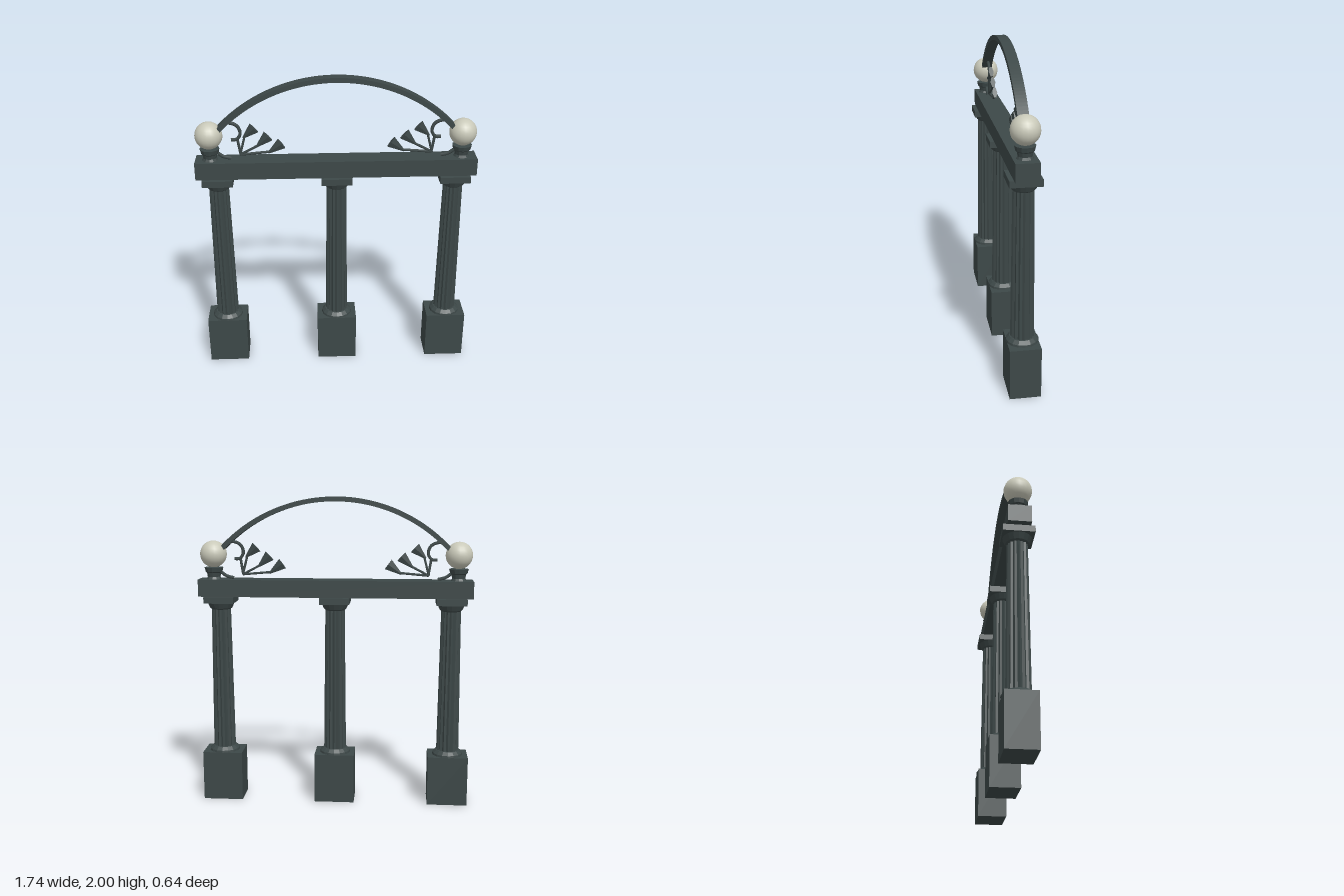
import * as THREE from 'three';

const iron = new THREE.MeshStandardMaterial({ color: 0x3d4848 });
iron.name = 'dark slate iron';
const glass = new THREE.MeshStandardMaterial({ color: 0xc9c9b9 });
glass.name = 'cream globe';

function flat(geo) {
  const g = geo.index ? geo.toNonIndexed() : geo;
  g.computeVertexNormals();
  return g;
}

function add(parent, name, geo, x = 0, y = 0, z = 0, mat = iron) {
  const m = new THREE.Mesh(geo, mat);
  m.name = name;
  m.position.set(x, y, z);
  parent.add(m);
  return m;
}

function lathe(points, sides) {
  return flat(new THREE.LatheGeometry(points.map(([r, y]) => new THREE.Vector2(r, y)), sides));
}

// tapered shaft whose alternate edges are pulled in to make flutes
function flutedShaft(rTop, rBottom, height, flutes) {
  const g = new THREE.CylinderGeometry(rTop, rBottom, height, flutes * 2, 1, true);
  const p = g.attributes.position;
  for (let i = 0; i < p.count; i++) {
    if ((i % (flutes * 2 + 1)) % 2) p.setXYZ(i, p.getX(i) * 0.88, p.getY(i), p.getZ(i) * 0.88);
  }
  return flat(g);
}

function column(u) {
  const g = new THREE.Group();
  g.name = 'column';
  g.position.x = u;
  add(g, 'plinth', new THREE.BoxGeometry(0.26, 0.325, 0.19), 0, 0.1625);
  add(g, 'columnBase', lathe([[0, 0.325], [0.1, 0.325], [0.098, 0.338], [0.078, 0.358], [0, 0.36]], 16));
  add(g, 'flutedShaft', flutedShaft(0.063, 0.073, 0.93, 16), 0, 0.82);
  add(g, 'capital', lathe([[0, 1.28], [0.062, 1.28], [0.072, 1.288], [0.09, 1.326], [0, 1.326]], 16));
  add(g, 'abacus', new THREE.BoxGeometry(0.192, 0.041, 0.192), 0, 1.3445);
  return g;
}

function rod(parent, name, pts, r) {
  const curve = new THREE.CatmullRomCurve3(pts.map(([x, y]) => new THREE.Vector3(x, y, 0)));
  return add(parent, name, new THREE.TubeGeometry(curve, pts.length > 2 ? 24 : 1, r, 6));
}

// globe lamp, scroll and leaf spray for the left-hand end
function endOrnament() {
  const g = new THREE.Group();
  g.name = 'endOrnament';
  add(g, 'lampCup', lathe([[0, 1.475], [0.05, 1.475], [0.042, 1.49], [0.047, 1.515],
    [0.055, 1.522], [0.062, 1.55], [0, 1.55]], 12), -0.787);
  add(g, 'globe', new THREE.SphereGeometry(0.086, 20, 14), -0.787, 1.635, 0, glass);
  rod(g, 'scroll', [[-0.715, 1.69], [-0.665, 1.715], [-0.61, 1.695], [-0.592, 1.645],
    [-0.615, 1.608], [-0.65, 1.605]], 0.011);
  rod(g, 'scrollFoot', [[-0.74, 1.52], [-0.705, 1.495], [-0.655, 1.482]], 0.011);
  rod(g, 'stem', [[-0.612, 1.615], [-0.595, 1.505]], 0.009);

  // each leaf: narrow end x, y and wide end x, y
  for (const [x0, y0, x1, y1] of [[-0.577, 1.615, -0.507, 1.68],
    [-0.497, 1.555, -0.422, 1.625], [-0.425, 1.513, -0.34, 1.575]]) {
    rod(g, 'leafStalk', [[-0.598, 1.505], [x0 + 0.01, y0 + 0.008]], 0.008);
    const len = Math.hypot(x1 - x0, y1 - y0);
    const geo = new THREE.CylinderGeometry(0.042, 0.006, len, 6);
    geo.scale(1, 1, 0.4);
    const leaf = add(g, 'leaf', flat(geo), (x0 + x1) / 2, (y0 + y1) / 2);
    leaf.rotation.z = Math.atan2(y1 - y0, x1 - x0) - Math.PI / 2;
  }
  return g;
}

function archGeometry() {
  const R = 1.016, t = 0.03, a = 0.81;
  const s = new THREE.Shape();
  s.absarc(0, 0, R, Math.PI / 2 - a, Math.PI / 2 + a, false);
  s.absarc(0, 0, R - t, Math.PI / 2 + a, Math.PI / 2 - a, true);
  s.closePath();
  const g = new THREE.ExtrudeGeometry(s, { depth: 0.066, bevelEnabled: false, curveSegments: 32 });
  g.translate(0, 2 - R, -0.033);
  return g;
}

export function createModel() {
  const model = new THREE.Group();
  model.name = 'columnArchway';
  const body = new THREE.Group();
  body.name = 'archway';
  body.rotation.y = THREE.MathUtils.degToRad(15);
  model.add(body);

  for (const u of [-0.745, 0, 0.745]) body.add(column(u));
  add(body, 'beam', new THREE.BoxGeometry(1.76, 0.11, 0.14), 0, 1.42);
  add(body, 'arch', archGeometry());

  // the same ornament turned round for the other end
  for (const turn of [0, Math.PI]) {
    const o = endOrnament();
    o.rotation.y = turn;
    body.add(o);
  }
  return model;
}
